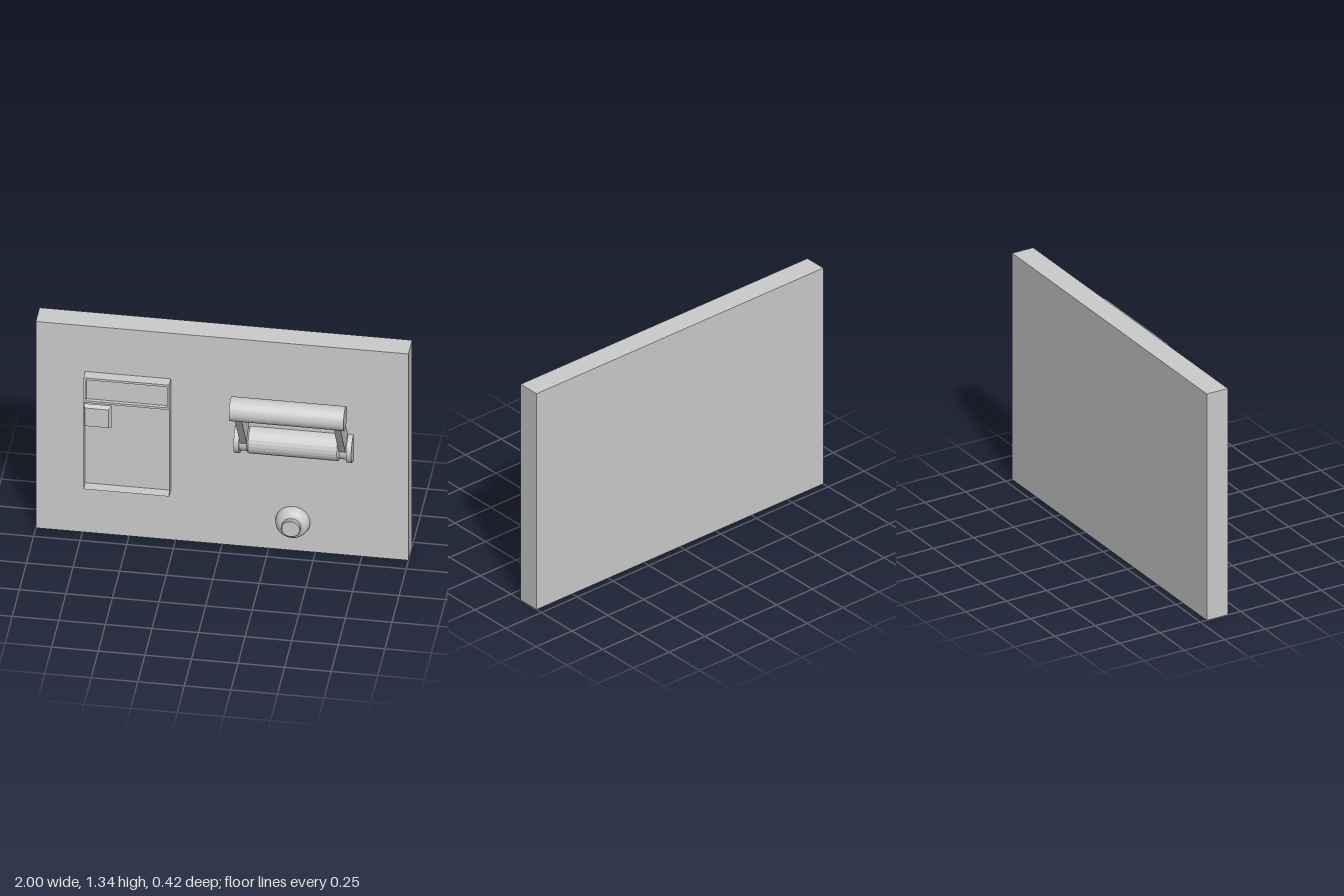
import * as THREE from 'three';

const grey = new THREE.MeshStandardMaterial({ color: 0xcccccc });
const flat = new THREE.MeshStandardMaterial({ color: 0xcccccc, flatShading: true });
const thin = new THREE.MeshStandardMaterial({ color: 0xcccccc, side: THREE.DoubleSide });

const FACE = -0.08; // z of the panel's front face

function add(parent, name, geometry, material = grey) {
  const mesh = new THREE.Mesh(geometry, material);
  mesh.name = name;
  parent.add(mesh);
  return mesh;
}

// Box given by its lower and upper corner
function box(x0, y0, z0, x1, y1, z1) {
  return new THREE.BoxGeometry(x1 - x0, y1 - y0, z1 - z0)
    .translate((x0 + x1) / 2, (y0 + y1) / 2, (z0 + z1) / 2);
}

// Cylinder lying along x
function rod(x0, x1, y, z, r, sides) {
  return new THREE.CylinderGeometry(r, r, x1 - x0, sides)
    .rotateZ(-Math.PI / 2).translate((x0 + x1) / 2, y, z);
}

function lathe(points, sides) {
  return new THREE.LatheGeometry(points.map(([r, h]) => new THREE.Vector2(r, h)), sides);
}

function rect(target, x0, y0, x1, y1) {
  target.moveTo(x0, y0).lineTo(x1, y0).lineTo(x1, y1).lineTo(x0, y1).closePath();
  return target;
}

function displayFrame() {
  const g = new THREE.Group();
  g.name = 'displayFrame';
  const L = -0.735, R = -0.275, B = 0.32, M = 0.88, T = 1.04, F = -0.02;
  const depth = F - FACE, midZ = (F + FACE) / 2;

  // Header with a shallow recessed window
  add(g, 'headerBack', box(L, M, FACE, R, T, F - 0.02));
  const rim = rect(new THREE.Shape(), L, M, R, T);
  rim.holes.push(rect(new THREE.Path(), L + 0.013, M + 0.013, R - 0.013, T - 0.013));
  add(g, 'headerRim', new THREE.ExtrudeGeometry(rim, { depth: 0.02, bevelEnabled: false })
    .translate(0, 0, F - 0.02));

  // Thin walls around the open lower part
  for (const [name, x] of [['leftWall', R], ['rightWall', L]]) {
    add(g, name, new THREE.PlaneGeometry(depth, M - B)
      .rotateY(Math.PI / 2).translate(x, (M + B) / 2, midZ), thin);
  }
  add(g, 'bottomWall', new THREE.PlaneGeometry(R - L, depth)
    .rotateX(-Math.PI / 2).translate((L + R) / 2, B, midZ), thin);

  // Tapered key below the header: front corners drawn inwards
  const key = new THREE.BoxGeometry(0.15, 0.14, 0.025);
  const p = key.attributes.position;
  for (let i = 0; i < p.count; i++) {
    if (p.getZ(i) > 0) {
      p.setX(i, p.getX(i) - Math.sign(p.getX(i)) * 0.012);
      p.setY(i, p.getY(i) - Math.sign(p.getY(i)) * 0.012);
    }
  }
  key.translate(-0.66, 0.805, -0.0075);
  add(g, 'key', key, flat);
  return g;
}

function lever() {
  const g = new THREE.Group();
  g.name = 'lever';
  const cx = 0.389, hubY = 0.70, gripY = 1.04, gripZ = 0.145;

  // Pivot drum with rounded ends, set half into the panel
  const h = 0.238;
  add(g, 'pivotDrum', lathe([
    [0, -h - 0.012], [0.062, -h - 0.012], [0.074, -h - 0.008], [0.08, -h],
    [0.08, h], [0.074, h + 0.008], [0.062, h + 0.012], [0, h + 0.012],
  ], 24).rotateZ(-Math.PI / 2).translate(cx, hubY, FACE), flat);
  add(g, 'pivotShaft', rod(cx - 0.3, cx + 0.3, hubY, FACE, 0.068, 24));

  // End discs and arms, mirrored about the lever's middle
  const dy = gripY - hubY, dz = gripZ - FACE;
  for (const s of [-1, 1]) {
    const side = s > 0 ? 'left' : 'right';
    const a = cx + s * 0.288, b = cx + s * 0.316;
    add(g, side + 'EndDisc', rod(Math.min(a, b), Math.max(a, b), hubY, FACE, 0.083, 40));
    const arm = add(g, side + 'Arm', new THREE.BoxGeometry(0.036, Math.hypot(dy, dz), 0.1));
    arm.position.set(cx + s * 0.265, (hubY + gripY) / 2, (FACE + gripZ) / 2);
    arm.rotation.x = Math.atan2(dz, dy);
  }
  add(g, 'grip', rod(0.08, 0.695, gripY, gripZ, 0.066, 48));
  return g;
}

function pushButton() {
  const g = new THREE.Group();
  g.name = 'pushButton';
  // Domed collar and round cap, both turned about z
  add(g, 'collar', lathe([
    [0.093, 0], [0.093, 0.012], [0.09, 0.026], [0.083, 0.04],
    [0.073, 0.051], [0.061, 0.058], [0.05, 0.058],
  ], 24).rotateX(Math.PI / 2), flat);
  add(g, 'cap', lathe([
    [0.052, 0.05], [0.052, 0.076], [0.048, 0.08], [0, 0.08],
  ], 32).rotateX(Math.PI / 2), flat);
  g.position.set(0.38, 0.191, FACE);
  return g;
}

export function createModel() {
  const model = new THREE.Group();
  model.name = 'controlPanel';
  add(model, 'panel', box(-1, 0, -0.21, 1, 1.335, FACE));
  model.add(displayFrame(), lever(), pushButton());
  return model;
}
